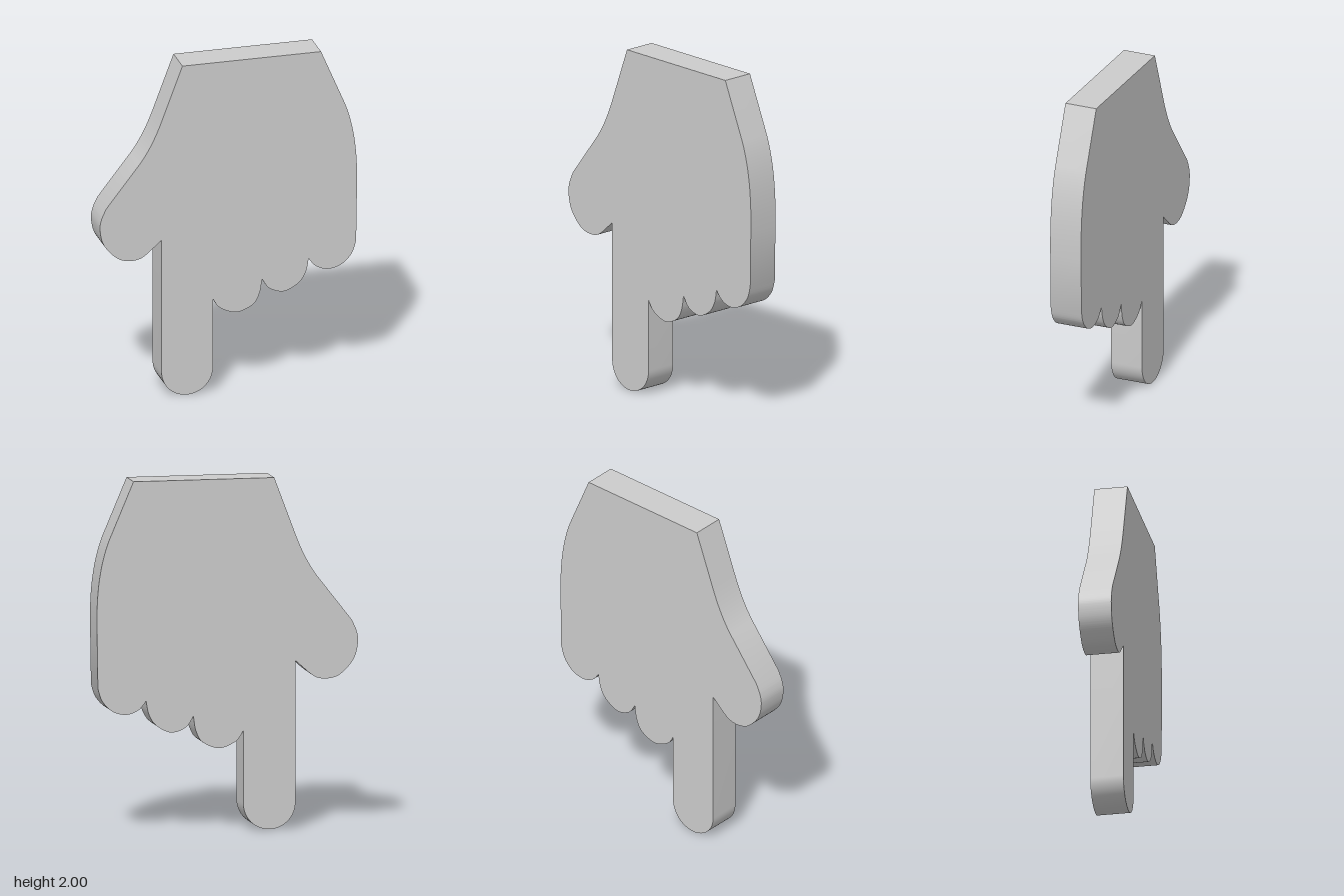
import * as THREE from 'three';
import { toCreasedNormals } from 'three/addons/utils/BufferGeometryUtils.js';

const DEPTH = 0.19;

// Smooth curve from the current point through the given [x, y] points
function through(shape, points) {
  shape.splineThru(points.map(([x, y]) => new THREE.Vector2(x, y)));
}

function handOutline() {
  const s = new THREE.Shape();

  // Wrist and outer edge of the palm
  s.moveTo(-0.27, 2);
  s.lineTo(0.54, 2);
  s.lineTo(0.68, 1.67);
  s.bezierCurveTo(0.73, 1.54, 0.755, 1.38, 0.75, 1.16);
  s.lineTo(0.745, 0.83);

  // Curled little, ring and middle fingers
  through(s, [[0.72, 0.756], [0.66, 0.695], [0.58, 0.675], [0.51, 0.7], [0.467, 0.75]]);
  through(s, [[0.452, 0.675], [0.41, 0.61], [0.325, 0.567], [0.24, 0.593], [0.195, 0.655]]);
  through(s, [[0.18, 0.57], [0.14, 0.505], [0.045, 0.47], [-0.05, 0.507], [-0.092, 0.565]]);

  // Pointing index finger with a round tip
  s.lineTo(-0.092, 0.15);
  s.absarc(-0.242, 0.15, 0.15, 0, Math.PI, true);
  s.lineTo(-0.392, 0.955);

  // Thumb
  s.lineTo(-0.47, 0.885);
  through(s, [[-0.515, 0.856], [-0.575, 0.848], [-0.64, 0.865], [-0.7, 0.918],
    [-0.738, 0.98], [-0.752, 1.06], [-0.742, 1.12], [-0.715, 1.18]]);

  // Thumb side back to the wrist
  s.lineTo(-0.52, 1.43);
  s.bezierCurveTo(-0.46, 1.51, -0.42, 1.6, -0.39, 1.68);
  s.closePath();
  return s;
}

export function createModel() {
  const group = new THREE.Group();
  group.name = 'pointingHand';

  const extruded = new THREE.ExtrudeGeometry(handOutline(), {
    depth: DEPTH, bevelEnabled: false, curveSegments: 16,
  });
  extruded.translate(0, 0, -DEPTH / 2);

  const hand = new THREE.Mesh(
    toCreasedNormals(extruded, 0.6),
    new THREE.MeshStandardMaterial({ color: 0xcccccc }),
  );
  hand.name = 'hand';
  group.add(hand);
  return group;
}
